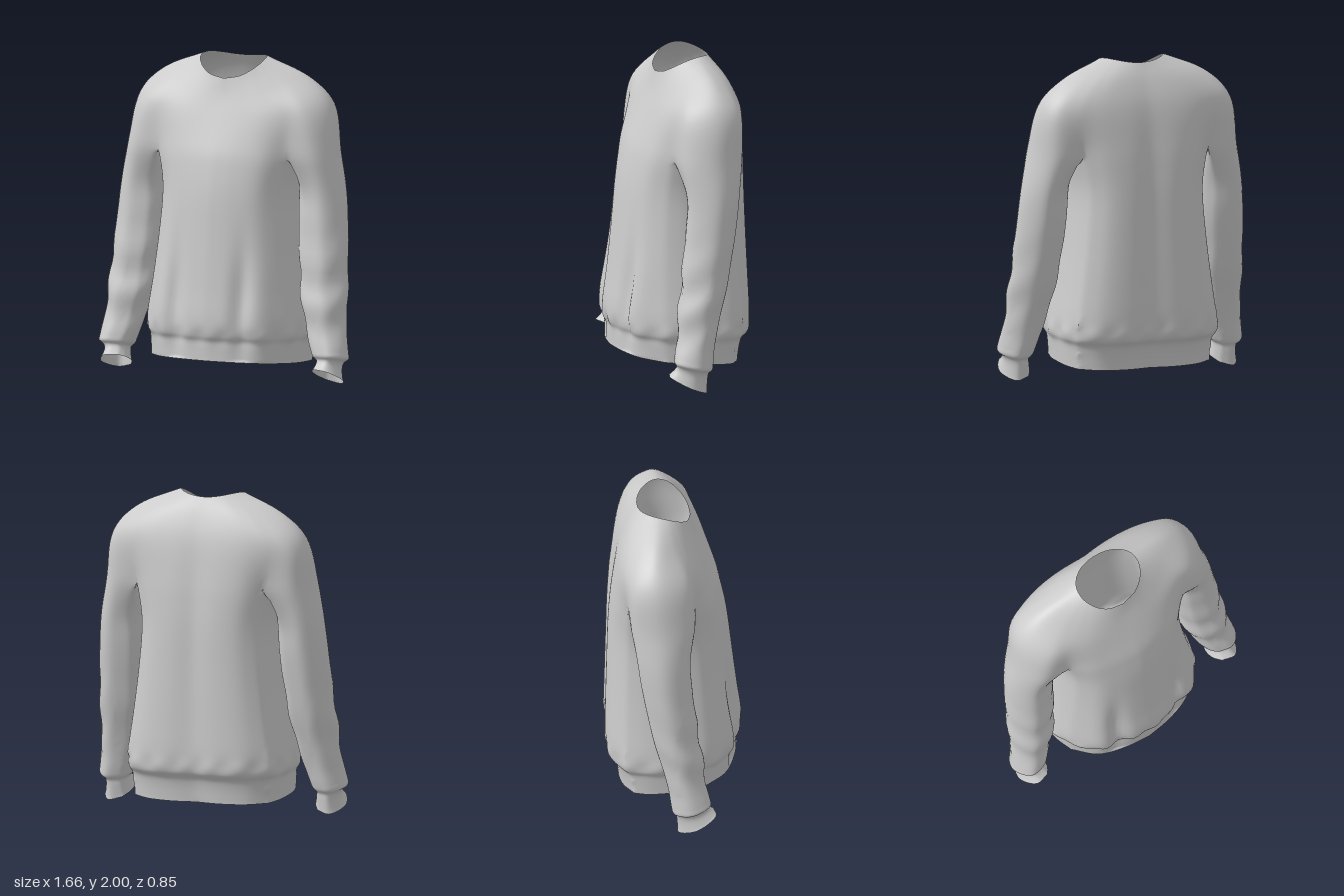
import * as THREE from 'three';

const STEP = 7; // subdivisions between control points
const V = (x, y, z) => new THREE.Vector3(x, y, z);
const rad = THREE.MathUtils.degToRad;

// Half outline of the torso, front centre round the left side to back centre, in units of width and depth
const outline = [[0, 1], [.31, .95], [.67, .8], [.92, .48], [.99, .17], [1, -.17], [.98, -.49],
  [.92, -.75], [.68, -.96], [.34, -1.04], [0, -1]];

// Torso sections, hem to underarm: [y, tilt, half width, front depth, back depth]
const torsoRows = [
  [.113, .10, .488, .40, .33],
  [.20, .08, .494, .40, .343],
  [.25, .06, .50, .402, .36],
  [.29, .05, .518, .418, .395],
  [.38, .02, .515, .428, .405],
  [.60, 0, .48, .402, .402],
  [.90, 0, .44, .368, .395],
  [1.20, 0, .42, .333, .387],
  [1.42, 0, .462, .287, .373],
].map(([y, tilt, w, front, back]) => outline.map(([u, v]) => {
  const z = v * (v > 0 ? front : back);
  return V(u * w, y + tilt * z, z);
}));

// Sleeve sections, cuff to underarm: [y, z tilt, x tilt, xMin, xMax, zMin, zMax]
const sleeveAngles = [125, 70, 0, -70, -125, -155, -180, -205].map(rad);
const sleeveRows = [
  [.06, .48, -.15, .615, .805, .01, .26],
  [.12, .34, -.05, .63, .79, .005, .22],
  [.15, .26, 0, .63, .80, 0, .212],
  [.172, .24, 0, .605, .832, -.02, .225],
  [.21, .20, 0, .59, .828, -.03, .218],
  [.30, .12, 0, .56, .812, -.045, .20],
  [.42, .05, 0, .525, .803, -.075, .185],
  [.60, 0, 0, .49, .793, -.13, .163],
  [1.0, 0, 0, .452, .767, -.21, .115],
  [1.2, 0, 0, .45, .745, -.238, .105],
  [1.42, 0, 0, .44, .70, -.265, .125],
].map(([y, tz, tx, x0, x1, z0, z1]) => sleeveAngles.map(a => {
  const dx = Math.cos(a) * (x1 - x0) / 2, dz = Math.sin(a) * (z1 - z0) / 2;
  return V((x0 + x1) / 2 + dx, y + tz * dz + tx * dx, (z0 + z1) / 2 + dz);
}));

// Underarm level, where torso and sleeve meet: once over the arm, once round the sleeve
const pit = torsoRows.at(-1), overArm = sleeveRows.pop().slice(1, 4);
const chest = [...pit.slice(0, 4), ...overArm, ...pit.slice(7)];
const armTop = [pit[3], ...overArm, pit[7], pit[6], pit[5], pit[4]];

// Shoulder sections, in the order of the chest points
const shoulderRows = [
  [[0, 1.65, .19], [.14, 1.65, .187], [.28, 1.66, .17], [.42, 1.69, .125], [.54, 1.71, .085], [.637, 1.735, -.09],
    [.597, 1.71, -.24], [.46, 1.70, -.305], [.31, 1.71, -.335], [.15, 1.72, -.342], [0, 1.72, -.333]],
  [[0, 1.78, .138], [.115, 1.785, .134], [.22, 1.802, .112], [.312, 1.832, .068], [.40, 1.868, 0], [.478, 1.889, -.105],
    [.44, 1.875, -.192], [.34, 1.868, -.255], [.232, 1.873, -.277], [.115, 1.875, -.281], [0, 1.873, -.278]],
].map(row => row.map(p => V(...p)));

// Neckline: an oval that dips at the front and peaks at the shoulders
const neckline = [0, 28, 50, 68, 82, 100, 115, 130, 147, 164, 180].map(rad).map(a => {
  const z = -.055 + .165 * Math.cos(a);
  return V(.212 * Math.sin(a), 2 - 2.35 * (z + .115) ** 2, z);
});

const spline = pts => new THREE.CatmullRomCurve3(pts).getPoints((pts.length - 1) * STEP);

// Smooth grid of points through rows of control points
function surface(rows) {
  const columns = rows[0].map((_, i) => spline(rows.map(r => r[i])));
  return columns[0].map((_, j) => spline(columns.map(c => c[j])));
}

// Soft folds of the cloth
function fold(p, isSleeve) {
  const x = Math.abs(p.x), bell = (v, c, w) => Math.exp(-(((v - c) / w) ** 2));
  if (isSleeve) {
    const d = .009 * Math.sin(p.y * 24 + p.z * 14) * bell(p.y, .55, .3);
    p.x += Math.sign(p.x) * d * (x > .65 ? .6 : -.6);
    p.z += p.z > .02 ? d : 0;
  } else {
    const drape = bell(p.y, .5, .32);
    if (p.z > .1) p.z += drape * (.016 * bell(x, .34, .07) - .035 * bell(x, .215, .05));
    const gather = 1 + .014 * Math.sin(Math.atan2(p.x, p.z) * 17) * bell(p.y, .31, .05);
    p.x *= gather;
    p.z *= gather;
  }
}

export function createModel() {
  const points = [], lookup = new Map(), parts = {};
  const vertex = p => {
    const key = [p.x, p.y, p.z].map(v => Math.round(v * 1e4)).join();
    if (!lookup.has(key)) {
      lookup.set(key, points.length);
      points.push({ p, near: new Map(), sleeve: false });
    }
    return lookup.get(key);
  };

  // Adds a patch; rows below `split` belong to the trim part
  function patch(rows, side, name, trim, split = 0) {
    const mirror = V(side, 1, 1);
    const ids = surface(rows).map(row => row.map(p => vertex(p.clone().multiply(mirror))));
    for (let j = 0; j < ids.length - 1; j++) {
      const list = (parts[j < split * STEP ? trim : name] ??= []);
      for (let i = 0; i < ids[j].length - 1; i++) {
        const q = [ids[j][i], ids[j][i + 1], ids[j + 1][i + 1], ids[j + 1][i]];
        if (side < 0) q.reverse();
        list.push(q[0], q[1], q[2], q[0], q[2], q[3]);
        q.forEach((a, k) => {
          const b = q[(k + 1) % 4];
          points[a].near.set(b, (points[a].near.get(b) || 0) + 1);
          points[b].near.set(a, (points[b].near.get(a) || 0) + 1);
          if (name.endsWith('Sleeve')) points[a].sleeve = true;
        });
      }
    }
  }

  // Front, side and back panels of torso and yoke; outer and inner half of each sleeve
  const cols = (rows, a, b) => rows.map(r => r.slice(a, b));
  const yoke = [chest, ...shoulderRows, neckline];
  const arm = [...sleeveRows, armTop].map(r => [...r, r[0]]);
  for (const side of [1, -1]) {
    const hand = side > 0 ? 'left' : 'right';
    for (const [a, b] of [[0, 4], [3, 8], [7, 11]]) {
      patch(cols(torsoRows, a, b), side, 'body', 'hemBand', 2);
      patch(cols(yoke, a, b), side, 'yoke');
    }
    for (const [a, b] of [[0, 5], [4, 9]]) {
      patch(cols(arm, a, b), side, hand + 'Sleeve', hand + 'Cuff', 2);
    }
  }

  // Relax the cloth so the panels flow together, keeping open edges in place
  points.forEach(v => { v.open = [...v.near.values()].some(n => n === 1); });
  for (let pass = 0; pass < 5; pass++) {
    const next = points.map(v => {
      if (v.open) return v.p;
      const mean = V(0, 0, 0);
      for (const n of v.near.keys()) mean.add(points[n].p);
      return v.p.clone().lerp(mean.divideScalar(v.near.size), .5);
    });
    points.forEach((v, i) => { v.p = next[i]; });
  }
  points.forEach(v => { if (!v.open) fold(v.p, v.sleeve && v.p.y < 1.4); });

  // Shared positions and normals keep shading seamless between parts
  const whole = new THREE.BufferGeometry().setFromPoints(points.map(v => v.p));
  whole.setIndex(Object.values(parts).flat());
  whole.computeVertexNormals();

  const cloth = new THREE.MeshStandardMaterial({ color: 0xcccccc, side: THREE.DoubleSide });
  cloth.name = 'light grey cloth';
  const group = new THREE.Group();
  group.name = 'sweatshirt';
  for (const [name, index] of Object.entries(parts)) {
    const geometry = new THREE.BufferGeometry();
    geometry.setAttribute('position', whole.getAttribute('position'));
    geometry.setAttribute('normal', whole.getAttribute('normal'));
    geometry.setIndex(index);
    const mesh = new THREE.Mesh(geometry, cloth);
    mesh.name = name;
    group.add(mesh);
  }
  return group;
}
